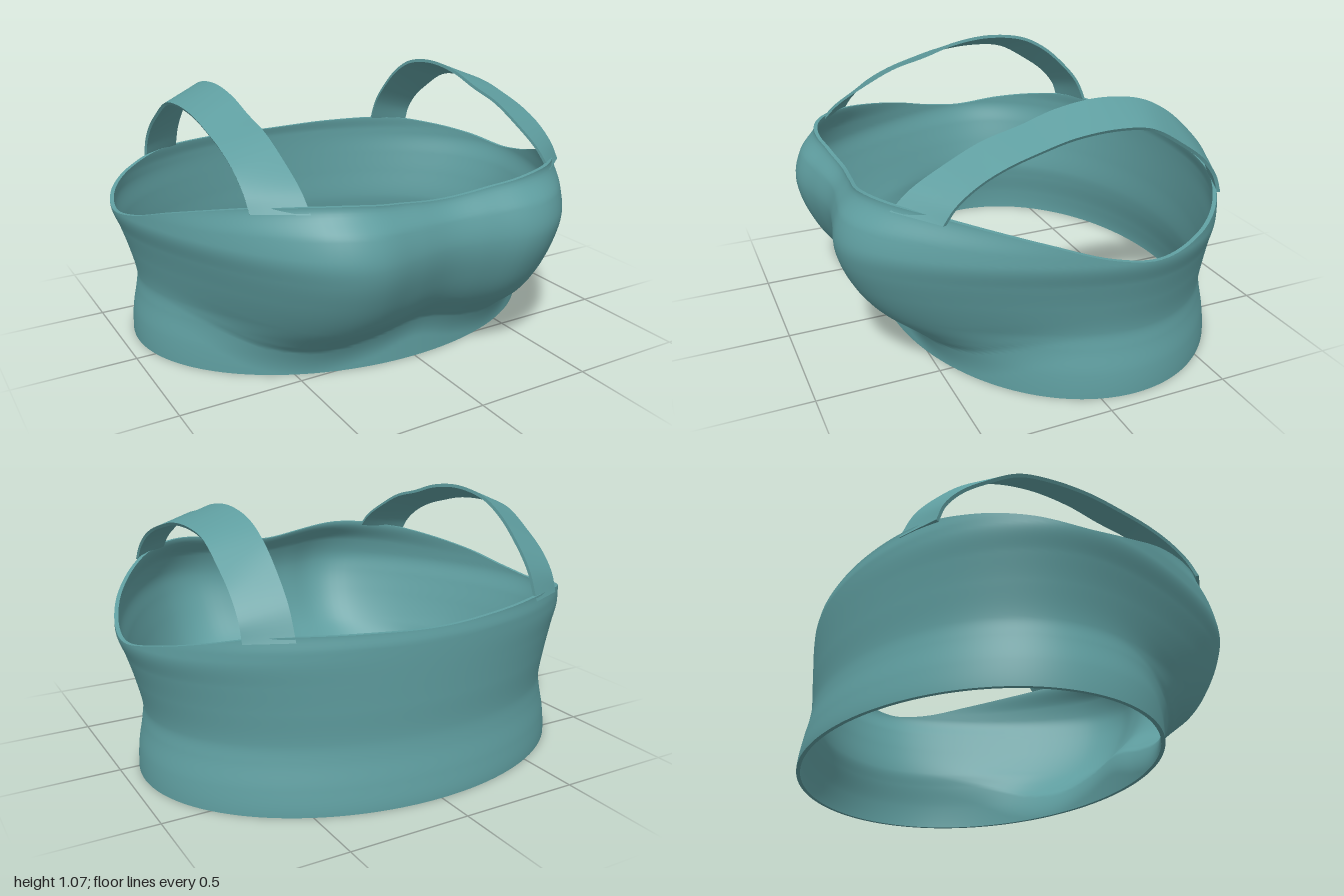
import * as THREE from 'three';
import { ParametricGeometry } from 'three/addons/geometries/ParametricGeometry.js';
import { mergeGeometries } from 'three/addons/utils/BufferGeometryUtils.js';

// Smooth interpolation through [position, value] pairs, level at both ends
function ramp(points) {
  const last = points.length - 1;
  const slope = points.map((p, i) => i === 0 || i === last ? 0
    : (points[i + 1][1] - points[i - 1][1]) / (points[i + 1][0] - points[i - 1][0]));
  return (x) => {
    if (x <= points[0][0]) return points[0][1];
    if (x >= points[last][0]) return points[last][1];
    let i = 0;
    while (x > points[i + 1][0]) i++;
    const h = points[i + 1][0] - points[i][0];
    const t = (x - points[i][0]) / h, t2 = t * t, t3 = t2 * t;
    return (2 * t3 - 3 * t2 + 1) * points[i][1] + (t3 - 2 * t2 + t) * h * slope[i]
      + (3 * t2 - 2 * t3) * points[i + 1][1] + (t3 - t2) * h * slope[i + 1];
  };
}

// Body by height: half width and depth of the back
const halfWidth = ramp([[0, 0.94], [0.1, 0.934], [0.2, 0.915], [0.27, 0.908], [0.4, 0.937], [0.5, 0.968], [0.6, 1]]);
const backDepth = ramp([[0, 0.695], [0.1, 0.682], [0.2, 0.662], [0.27, 0.655], [0.4, 0.66], [0.63, 0.665], [0.69, 0.655]]);
// Body by angle in degrees, 0 at the front and 180 at the back
const neckline = ramp([[0, 0.73], [14, 0.755], [25, 0.775], [35, 0.772], [45, 0.752], [64, 0.68], [78, 0.62],
  [92, 0.596], [110, 0.628], [125, 0.66], [140, 0.688], [160, 0.685], [180, 0.675]]);
const fullness = ramp([[0, 0.24], [10, 0.28], [20, 0.36], [27, 0.393], [34, 0.393], [44, 0.345], [53, 0.28],
  [64, 0.185], [76, 0.085], [92, 0]]);
const crease = ramp([[0, 0.18], [12, 0.14], [27, 0.105], [42, 0.13], [60, 0.21], [90, 0.27]]);
// Cup profile from the crease (0) to the fullest height (1) and on to the neckline
const cup = ramp([[-0.25, 0], [0, 0.1], [0.09, 0.23], [0.35, 0.62], [0.67, 0.88], [1, 1], [1.27, 0.92], [1.5, 0.72]]);

const FULL_HEIGHT = 0.55, CENTRE_Z = -0.145, THICKNESS = 0.016;

function bodyPoint(u, v, inset, target) {
  const angle = u * Math.PI * 2;
  const degrees = 360 * Math.min(u, 1 - u);
  const y = v * neckline(degrees);
  const c = Math.cos(angle);
  const low = crease(degrees);
  const front = 0.695 + fullness(degrees) * cup((y - low) / (FULL_HEIGHT - low));
  const depth = THREE.MathUtils.lerp(backDepth(y), front, THREE.MathUtils.smoothstep(c, -0.3, 0.3));
  return target.set(Math.sin(angle) * (halfWidth(y) - inset), y, CENTRE_Z + c * (depth - inset));
}

function bodyGeometry() {
  return mergeGeometries([
    new ParametricGeometry((u, v, p) => bodyPoint(u, v, 0, p), 160, 64),
    new ParametricGeometry((u, v, p) => bodyPoint(1 - u, v, THICKNESS, p), 160, 64),
    // neckline and hem edges
    new ParametricGeometry((u, v, p) => bodyPoint(u, 1, v * THICKNESS, p), 160, 1),
    new ParametricGeometry((u, v, p) => bodyPoint(u, 0, (1 - v) * THICKNESS, p), 160, 1),
  ]);
}

// Strap edges as [y, z], from front to back
const curveAt = (x, points) => new THREE.CatmullRomCurve3(points.map(([y, z]) => new THREE.Vector3(x, y, z)));
const innerEdge = curveAt(0.545, [[0.75, 0.685], [0.82, 0.61], [0.9, 0.47], [0.965, 0.33], [1.005, 0.18], [1.05, 0.03],
  [1.07, -0.15], [1.045, -0.33], [0.985, -0.45], [0.9, -0.55], [0.79, -0.645], [0.67, -0.7]]);
const outerEdge = curveAt(0.715, [[0.74, 0.545], [0.8, 0.5], [0.865, 0.415], [0.915, 0.31], [0.955, 0.18], [0.99, 0.03],
  [1, -0.15], [0.98, -0.29], [0.9, -0.43], [0.825, -0.53], [0.745, -0.595], [0.67, -0.622]]);
const strapFocus = new THREE.Vector3(0.45, 0.55, -0.1);

function strapGeometry(side) {
  const point = (across, deep, t, target) => {
    target.copy(innerEdge.getPoint(t)).lerp(outerEdge.getPoint(t), across);
    const inward = strapFocus.clone().sub(target).normalize();
    target.addScaledVector(inward, deep * 0.014);
    target.x *= side;
  };
  const turn = (u) => side > 0 ? u : 1 - u;
  const corners = [[0, 0], [1, 0], [1, 1], [0, 1]];
  const faces = corners.map(([a, d], i) => {
    const [a2, d2] = corners[(i + 1) % 4];
    return new ParametricGeometry((u, v, p) => {
      const k = turn(u);
      point(a + (a2 - a) * k, d + (d2 - d) * k, v, p);
    }, 4, 64);
  });
  // end caps
  faces.push(new ParametricGeometry((u, v, p) => point(turn(1 - u), v, 0, p), 1, 1));
  faces.push(new ParametricGeometry((u, v, p) => point(turn(u), v, 1, p), 1, 1));
  return mergeGeometries(faces);
}

export function createModel() {
  const group = new THREE.Group();
  group.name = 'croppedTop';
  const fabric = new THREE.MeshStandardMaterial({ color: 0x5f9ea0, side: THREE.DoubleSide });
  const add = (name, geometry) => {
    const mesh = new THREE.Mesh(geometry, fabric);
    mesh.name = name;
    group.add(mesh);
  };
  add('bodice', bodyGeometry());
  add('leftStrap', strapGeometry(1));
  add('rightStrap', strapGeometry(-1));
  return group;
}
